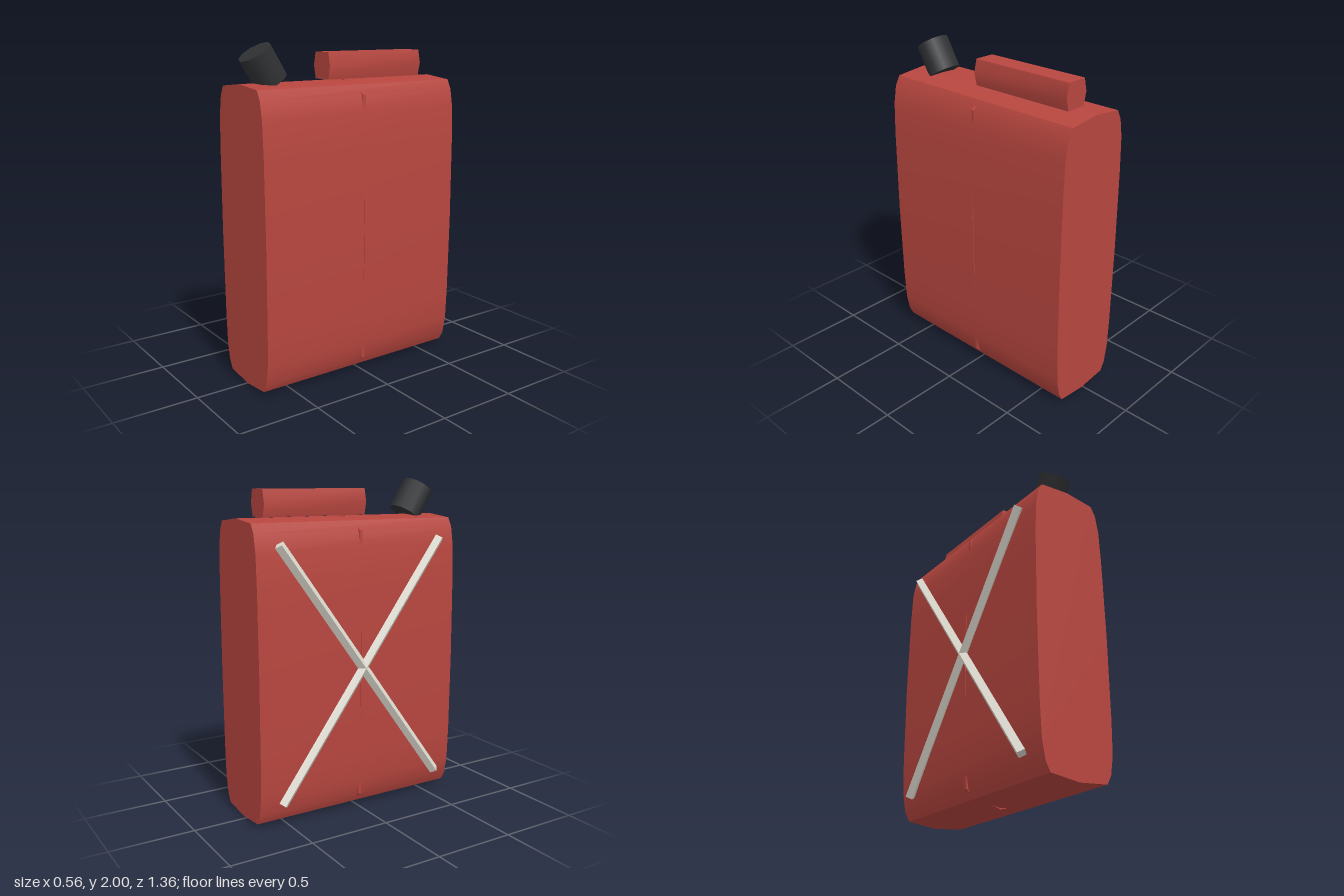
import * as THREE from 'three';
import { toCreasedNormals } from 'three/addons/utils/BufferGeometryUtils.js';

const CX = 0.018; // centre line of the can
const MID = 0.895; // middle height of the can

const red = new THREE.MeshStandardMaterial({ color: 0xb8463f });
const black = new THREE.MeshStandardMaterial({ color: 0x303133 });
const pale = new THREE.MeshStandardMaterial({ color: 0xdedbd0 });

// Prism along z from a quarter outline [x, y], mirrored left/right and up/down
function prism(quarter, depth) {
  const right = [...quarter, ...quarter.map(([x, y]) => [x, -y]).reverse()];
  const left = right.map(([x, y]) => [-x, y]).reverse();
  const points = [];
  for (const [x, y] of [...right, ...left]) {
    const last = points[points.length - 1];
    if (!last || last.x !== x || last.y !== y) points.push(new THREE.Vector2(x, y));
  }
  if (points[0].equals(points[points.length - 1])) points.pop();
  const geometry = new THREE.ExtrudeGeometry(new THREE.Shape(points), { depth, bevelEnabled: false });
  geometry.translate(0, 0, -depth / 2);
  return toCreasedNormals(geometry, Math.PI / 6);
}

export function createModel() {
  const model = new THREE.Group();
  model.name = 'fuelCan';

  function add(name, geometry, material, x, y, z) {
    const mesh = new THREE.Mesh(geometry, material);
    mesh.name = name;
    mesh.position.set(x, y, z);
    model.add(mesh);
    return mesh;
  }

  // Can body with bulging sides
  add('body', prism([
    [0, 0.885], [0.192, 0.865], [0.222, 0.81], [0.242, 0.7], [0.25, 0.5], [0.255, 0],
  ], 1.36), red, CX, MID, 0);

  // Seam strip that barely breaks the surface of the body
  add('seam', prism([
    [0, 0.893], [0.185, 0.85], [0.235, 0.81], [0.235, 0.75], [0.259, 0.15], [0.259, 0],
  ], 0.02), red, CX, MID, 0);

  // Six-sided handle bar on top
  add('handle', prism([[0.065, 0.078], [0.083, 0]], 0.68), red, CX, 1.862, -0.205);

  // Tilted spout cap
  const cap = add('cap', new THREE.CylinderGeometry(0.1, 0.1, 0.196, 10), black, CX, 1.867, 0.53);
  cap.rotation.x = 0.55;

  // Crossed braces on the right side, square bars set on edge
  for (const side of [-1, 1]) {
    const geometry = new THREE.BoxGeometry(0.044, 1.86, 0.044).rotateY(Math.PI / 4);
    const brace = add(side < 0 ? 'braceBack' : 'braceFront', geometry, pale, -0.25, MID, 0);
    brace.rotation.x = side * Math.atan2(0.55, 0.75);
  }

  return model;
}
